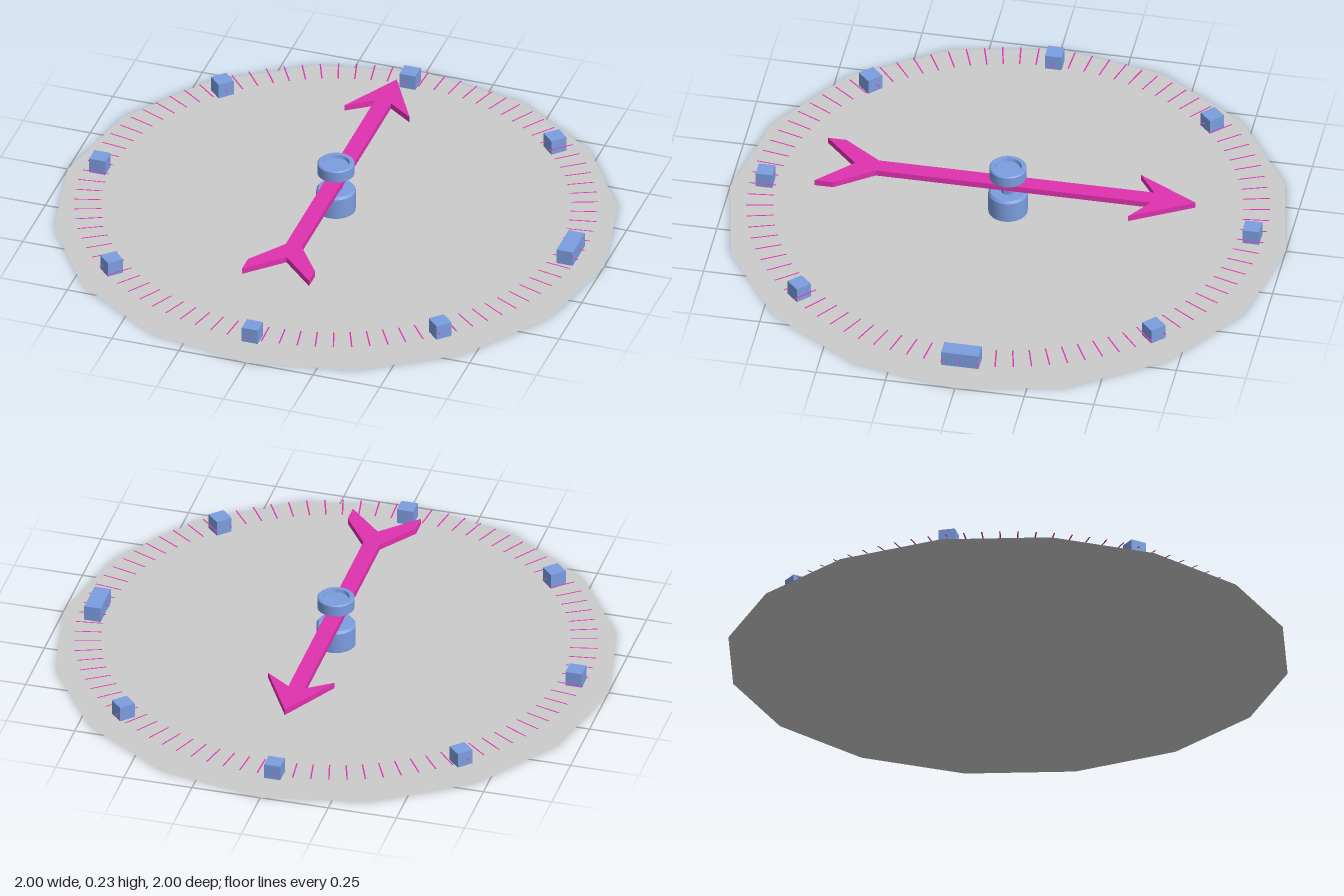
import * as THREE from 'three';
import { toCreasedNormals } from 'three/addons/utils/BufferGeometryUtils.js';

export function createModel() {
  const group = new THREE.Group();
  const grey = new THREE.MeshStandardMaterial({ color: 0xcccccc, side: THREE.DoubleSide });
  const blue = new THREE.MeshStandardMaterial({ color: 0x7c9de0 });
  const pink = new THREE.MeshStandardMaterial({ color: 0xe032b0 });
  const tickPink = new THREE.MeshStandardMaterial({ color: 0xe032b0, side: THREE.DoubleSide });

  const add = (name, geometry, material, parent = group) => {
    const mesh = new THREE.Mesh(geometry, material);
    mesh.name = name;
    parent.add(mesh);
    return mesh;
  };

  // Sixteen-sided flat dial
  add('dial', new THREE.CircleGeometry(1, 16).rotateX(-Math.PI / 2), grey);

  // Ring of thin flat degree ticks
  const ticks = new THREE.Group();
  ticks.name = 'degreeTicks';
  group.add(ticks);
  const tickGeometry = new THREE.PlaneGeometry(0.097, 0.005).rotateX(-Math.PI / 2).translate(0.878, 0.052, 0);
  const tickCount = 90;
  for (let i = 0; i < tickCount; i++) {
    add('tick', tickGeometry, tickPink, ticks).rotation.y = (i / tickCount) * Math.PI * 2;
  }

  // Eight direction markers: x, z, turn, length along z
  const markers = new THREE.Group();
  markers.name = 'directionMarkers';
  group.add(markers);
  const turn = Math.PI / 4;
  [
    [0.875, 0, 0, 0.135],
    [0.602, 0.636, turn, 0.06],
    [-0.018, 0.876, 0, 0.06],
    [-0.63, 0.615, turn, 0.06],
    [-0.88, 0, 0, 0.06],
    [-0.63, -0.615, turn, 0.06],
    [-0.018, -0.876, 0, 0.06],
    [0.602, -0.64, turn, 0.06],
  ].forEach(([x, z, angle, length]) => {
    const marker = add('marker', new THREE.BoxGeometry(0.06, 0.056, length), blue, markers);
    marker.position.set(x, 0.052, z);
    marker.rotation.y = angle;
  });

  // Turned centre pivot: hub, thin spindle and dished cap
  const profile = [
    [0, 0.04], [0.07, 0.04], [0.07, 0.118], [0.063, 0.127], [0.025, 0.127],
    [0.025, 0.19], [0.066, 0.19], [0.066, 0.23], [0.062, 0.234], [0.048, 0.234],
    [0.045, 0.222], [0, 0.222],
  ].map(([r, y]) => new THREE.Vector2(r, y));
  add('pivot', toCreasedNormals(new THREE.LatheGeometry(profile, 32), 0.6), blue);

  // Needle outline, one side mirrored to the other, tip towards the back
  const side = [
    [0.122, -0.455], [0.03, -0.52], [0.03, 0.47], [0.125, 0.605], [0.125, 0.672],
  ];
  const mirrored = side.map(([x, z]) => [-x, z]).reverse();
  const outline = [[0, -0.675], ...side, [0, 0.55], ...mirrored];
  const needleShape = new THREE.Shape(outline.map(([x, z]) => new THREE.Vector2(x, z)));
  const needle = new THREE.ExtrudeGeometry(needleShape, { depth: 0.022, bevelEnabled: false });
  add('needle', needle.rotateX(Math.PI / 2).translate(0, 0.17, 0), pink);

  return group;
}
